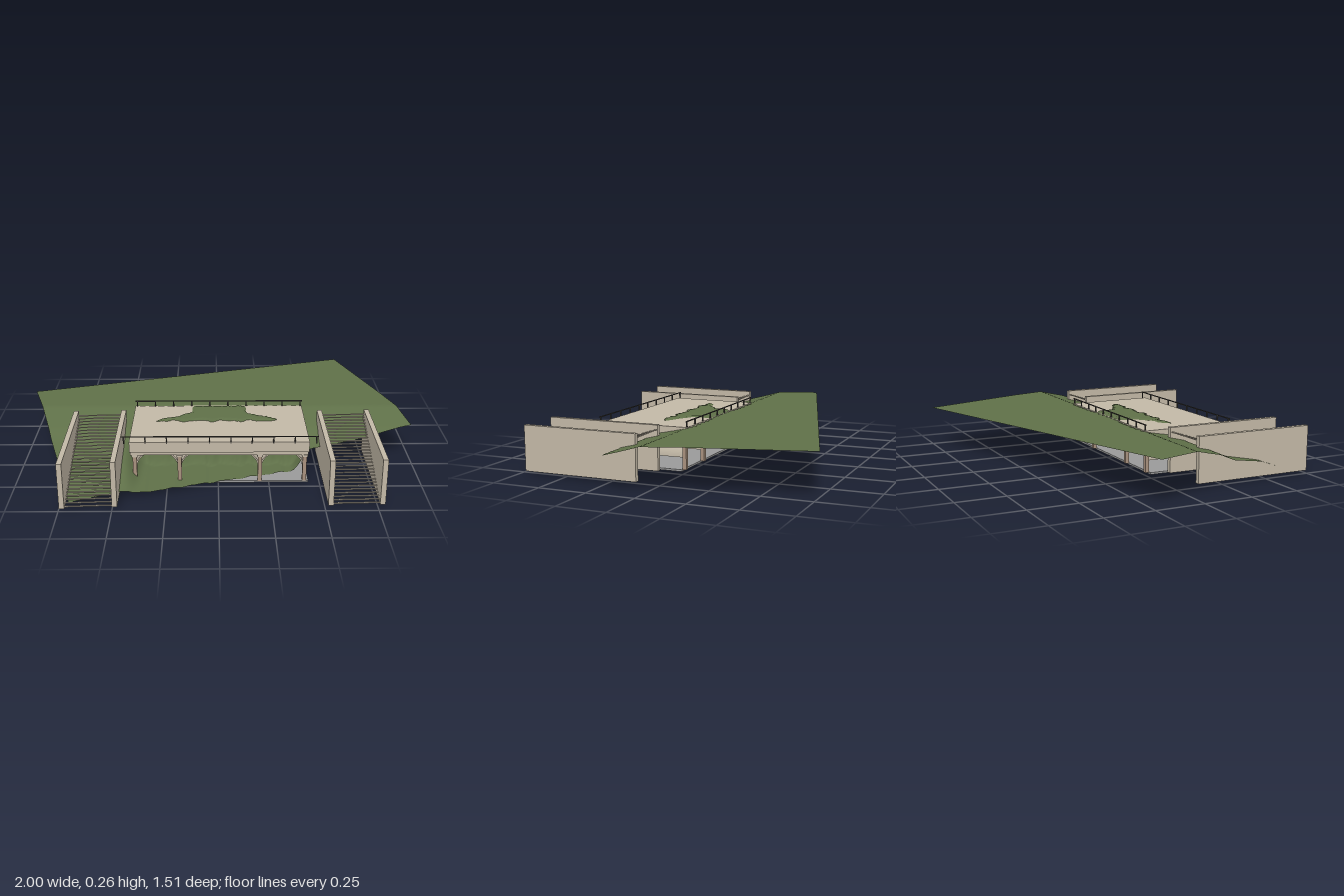
import * as THREE from 'three';

const mat = (color, side = THREE.FrontSide) => new THREE.MeshStandardMaterial({ color, side });
const stone = mat(0xc2b8a6);
const stoneThin = mat(0xc2b8a6, THREE.DoubleSide);
const pillarStone = mat(0xa8917e);
const slabGrey = mat(0x999999);
const metal = mat(0x45423e);
const grass = mat(0x5f7048, THREE.DoubleSide);

// Box given by its minimum and maximum corners
function box(parent, name, material, [x0, y0, z0], [x1, y1, z1]) {
  const mesh = new THREE.Mesh(new THREE.BoxGeometry(x1 - x0, y1 - y0, z1 - z0), material);
  mesh.position.set((x0 + x1) / 2, (y0 + y1) / 2, (z0 + z1) / 2);
  mesh.name = name;
  parent.add(mesh);
  return mesh;
}

// Linear interpolation through [position, value] pairs
function profile(points, t) {
  if (t <= points[0][0]) return points[0][1];
  for (let i = 1; i < points.length; i++) {
    const [a, va] = points[i - 1], [b, vb] = points[i];
    if (t <= b) return va + (vb - va) * (t - a) / (b - a);
  }
  return points[points.length - 1][1];
}

// Hillside: flat plateau, sloping flanks, and a cut cliff beneath the terrace
const flank = [[-0.75, 0.217], [-0.2, 0.223], [0, 0.222], [0.08, 0.2], [0.18, 0.175],
  [0.25, 0.14], [0.45, 0.1], [0.6, 0.045], [0.7, 0.02]];
const moundWidth = [[0.09, 0.15], [0.14, 0.2], [0.17, 0.29], [0.21, 0.33]];
function groundHeight(x, z) {
  const side = profile(flank, z);
  if (z < 0) return side;
  const ragged = 0.008 * Math.sin(x * 47) + 0.006 * Math.sin(x * 83 + 1);
  const mound = 1 - THREE.MathUtils.smoothstep(Math.abs(x - 0.01) + ragged,
    profile(moundWidth, z) - 0.02, profile(moundWidth, z) + 0.02);
  const top = 0.214 + 0.018 * mound * THREE.MathUtils.smoothstep(z, -0.01, 0.02);
  const cliff = THREE.MathUtils.smoothstep(z + ragged, 0.2, 0.28);
  const middle = THREE.MathUtils.lerp(top, 0.016 + ragged * 0.3, cliff);
  return THREE.MathUtils.lerp(middle, side, THREE.MathUtils.smoothstep(Math.abs(x), 0.37, 0.47));
}

function hillside() {
  const geo = new THREE.PlaneGeometry(1.793, 0.965, 110, 64);
  geo.rotateX(-Math.PI / 2).rotateY(0.306).translate(0.002, 0, -0.03);
  const p = geo.attributes.position;
  for (let i = 0; i < p.count; i++) p.setY(i, groundHeight(p.getX(i), p.getZ(i)));
  geo.computeVertexNormals();
  const mesh = new THREE.Mesh(geo, grass);
  mesh.name = 'hillside';
  return mesh;
}

// Thin vault with quarter-round haunches, running front to back
function vault(x0, x1) {
  const r = Math.min(0.1, (x1 - x0) / 2), crown = 0.168, spring = crown - r, t = 0.007;
  const s = new THREE.Shape();
  s.moveTo(x0, spring);
  s.absarc(x0 + r, spring, r, Math.PI, Math.PI / 2, true);
  s.absarc(x1 - r, spring, r, Math.PI / 2, 0, true);
  s.lineTo(x1 - t, spring);
  s.absarc(x1 - r, spring, r - t, 0, Math.PI / 2, false);
  s.absarc(x0 + r, spring, r - t, Math.PI / 2, Math.PI, false);
  s.closePath();
  const geo = new THREE.ExtrudeGeometry(s, { depth: 0.41, bevelEnabled: false, curveSegments: 12 });
  const mesh = new THREE.Mesh(geo, stoneThin);
  mesh.position.z = 0.03;
  mesh.name = 'vault';
  return mesh;
}

function terrace() {
  const g = new THREE.Group();
  g.name = 'terrace';
  box(g, 'baseSlab', slabGrey, [-0.435, 0, 0.03], [0.445, 0.01, 0.455]);
  box(g, 'deck', stone, [-0.435, 0.17, 0], [0.445, 0.225, 0.467]);

  // Pillars and lintel beams on both long sides
  const bays = [-0.41, -0.19, 0.205, 0.425];
  for (const z of [0.02, 0.445]) {
    box(g, 'lintel', stone, [-0.432, 0.15, z - 0.008], [0.442, 0.171, z + 0.01]);
    for (const x of bays) {
      box(g, 'pillar', pillarStone, [x - 0.01, 0.008, z - 0.01], [x + 0.01, 0.15, z + 0.01]);
      box(g, 'capital', stone, [x - 0.014, 0.14, z - 0.013], [x + 0.014, 0.15, z + 0.013]);
    }
  }
  for (let i = 0; i < 3; i++) g.add(vault(bays[i], bays[i + 1]));
  return g;
}

// Railing with evenly spaced uprights
function railing(x0, x1, z) {
  const g = new THREE.Group();
  g.name = 'railing';
  box(g, 'topRail', metal, [x0, 0.251, z - 0.0025], [x1, 0.256, z + 0.0025]);
  for (let i = 0; i < 10; i++) {
    const x = x0 + 0.01 + (x1 - x0 - 0.02) * i / 9;
    box(g, 'railPost', metal, [x - 0.003, 0.218, z - 0.003], [x + 0.003, 0.252, z + 0.003]);
  }
  return g;
}

// Open-tread stairway between two solid side walls; the outer edges are skewed in z
function stairway(name, xa, xb, za, zb, length, top) {
  const g = new THREE.Group();
  g.name = name;
  const w = 0.0125, count = 29;
  box(g, 'sideWall', stone, [xa - w, 0.015, za], [xa + w, top, za + length]);
  box(g, 'sideWall', stone, [xb - w, 0.015, zb], [xb + w, top, zb + length]);
  const tilt = Math.atan2(za - zb, xb - xa);
  const geo = new THREE.BoxGeometry(xb - xa - 0.02, 0.003, 0.01);
  for (let i = 0; i < count; i++) {
    const f = i / (count - 1);
    const tread = new THREE.Mesh(geo, stone);
    tread.position.set((xa + xb) / 2, 0.222 - 0.2 * f, (za + zb) / 2 + 0.008 + (length - 0.016) * f);
    tread.rotation.y = tilt;
    tread.name = 'tread';
    g.add(tread);
  }
  return g;
}

export function createModel() {
  const model = new THREE.Group();
  model.name = 'hillsideTerrace';
  model.add(
    hillside(),
    terrace(),
    railing(-0.47, 0.488, 0.467),
    railing(-0.435, 0.447, 0.004),
    stairway('rightStairway', -0.733, -0.488, 0.12, 0.105, 0.63, 0.245),
    stairway('leftStairway', 0.527, 0.772, 0.115, 0.107, 0.61, 0.245),
  );
  return model;
}
